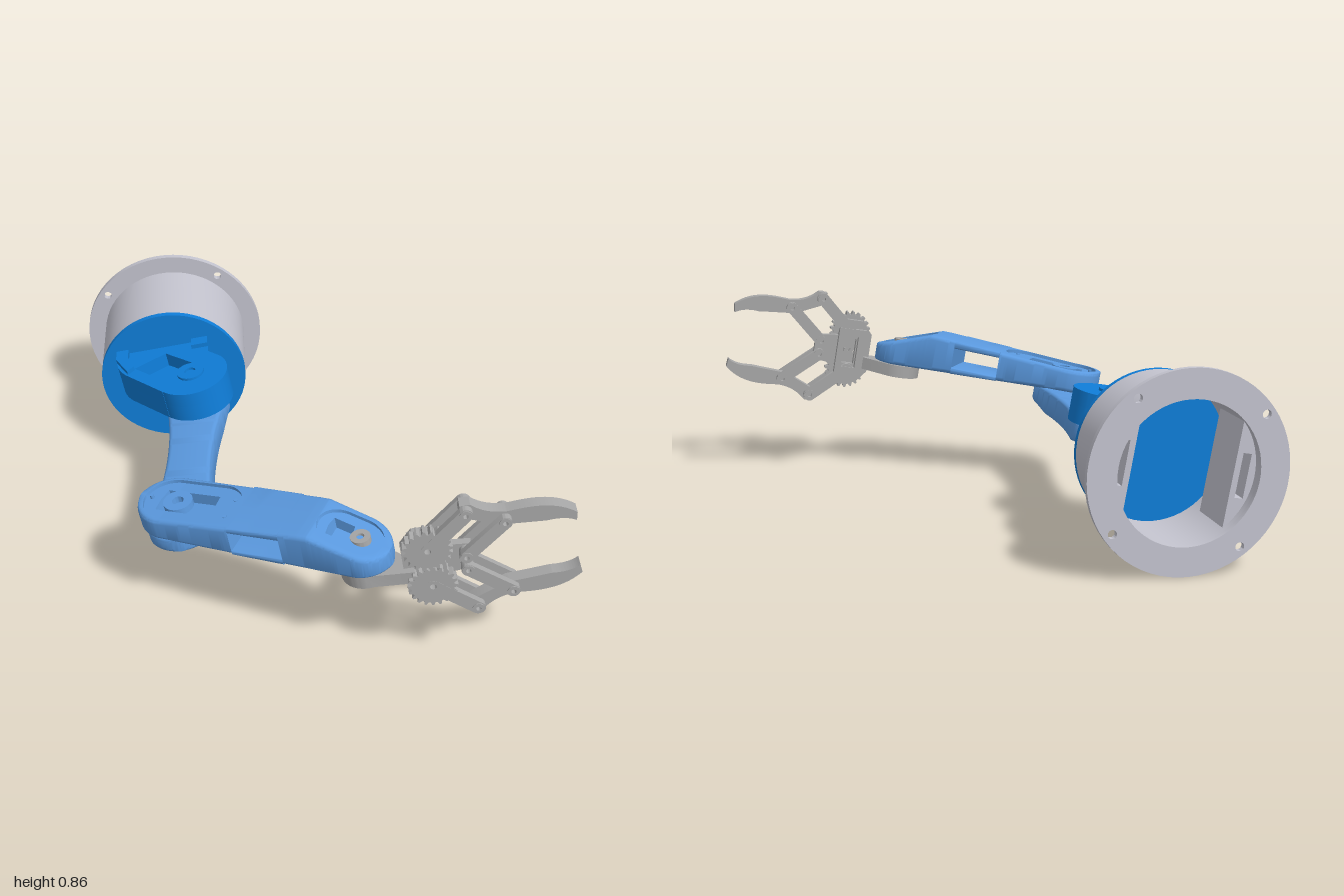
import * as THREE from 'three';
import { toCreasedNormals } from 'three/addons/utils/BufferGeometryUtils.js';

const paint = (color) => new THREE.MeshStandardMaterial({ color });
const GREY = paint(0xc4c4cf), STEEL = paint(0xa8a8a8), BLUE = paint(0x0f7dd8), SKY = paint(0x5b9ae0);
const { lerp, clamp } = THREE.MathUtils;

function add(parent, name, geometry, material) {
  const mesh = new THREE.Mesh(toCreasedNormals(geometry, 0.6), material);
  mesh.name = name;
  parent.add(mesh);
  return mesh;
}

const poly = (pts) => new THREE.Shape(pts.map(([x, y]) => new THREE.Vector2(x, y)));
const disc = (x, y, r) => new THREE.Shape().absarc(x, y, r, 0, Math.PI * 2);
const rect = (x0, y0, x1, y1) => poly([[x0, y0], [x1, y0], [x1, y1], [x0, y1]]);
function cut(shape, ...holes) {
  shape.holes.push(...holes);
  return shape;
}

// Shape in the x-y plane, thick from z0 to z1
function plate(parent, name, shape, z0, z1, material) {
  const g = new THREE.ExtrudeGeometry(shape, { depth: z1 - z0, bevelEnabled: false, curveSegments: 32 });
  return add(parent, name, g.translate(0, 0, z0), material);
}

// Shape in the x-z plane, thick from y0 to y1
function slab(parent, name, shape, y0, y1, material) {
  const g = new THREE.ExtrudeGeometry(shape, { depth: y1 - y0, bevelEnabled: false, curveSegments: 24 });
  return add(parent, name, g.rotateX(Math.PI / 2).translate(0, y1, 0), material);
}

// Bar with round ends and pin holes
function bar(a, b, r) {
  const t = Math.atan2(b[1] - a[1], b[0] - a[0]), q = Math.PI / 2;
  const s = new THREE.Shape().absarc(a[0], a[1], r, t + q, t + 3 * q).absarc(b[0], b[1], r, t - q, t + q);
  return cut(s, disc(...a, r * 0.45), disc(...b, r * 0.45));
}

function gear(x, y, r, teeth, phase) {
  const pts = [];
  for (let i = 0; i < teeth * 4; i++) {
    const a = ((i + phase) / (teeth * 4)) * Math.PI * 2, k = i % 4 < 2 ? r : r - 0.015;
    pts.push([x + k * Math.cos(a), y + k * Math.sin(a)]);
  }
  return cut(poly(pts), disc(x, y, 0.015));
}

// Half width of a stadium with end centres a and b
function stadium(s, a, b, r) {
  const d = Math.max(a - s, s - b, 0);
  return d >= r ? 0 : Math.sqrt(r * r - d * d);
}

// One cross-section: rounded box whose top steps down through sunken levels
function section({ w, b, t, levels }) {
  const pts = [], r = Math.min(0.02, w / 2, (t - b) / 3);
  const corner = (z, y, from) => {
    for (let i = 0; i <= 4; i++) {
      const a = from + (i / 4) * Math.PI / 2;
      pts.push([z + r * Math.cos(a), y + r * Math.sin(a)]);
    }
  };
  corner(r - w, b + r, Math.PI);
  corner(w - r, b + r, Math.PI * 1.5);
  corner(w - r, t - r, 0);
  const steps = [];
  let y = t;
  for (const [half, floor] of levels) {
    const h = Math.min(half, w - r), f = h > 0 ? floor : y;
    steps.push([h, y], [h, f]);
    y = f;
  }
  pts.push(...steps, ...steps.slice().reverse().map(([h, v]) => [-h, v]));
  corner(r - w, t - r, Math.PI / 2);
  return pts;
}

// Limb lofted along x through the sections given by rule(s)
function limb(rule, s0, s1, n = 100) {
  const pos = [], index = [];
  let m = 0;
  for (let i = 0; i <= n; i++) {
    const s = lerp(s0, s1, (1 - Math.cos((Math.PI * i) / n)) / 2);
    const ring = section(rule(s));
    m = ring.length;
    for (const [z, y] of ring) pos.push(s, y, z);
  }
  for (let i = 0; i < n; i++) for (let j = 0; j < m; j++) {
    const k = (j + 1) % m, a = i * m + j, d = i * m + k;
    index.push(a, a + m, d + m, a, d + m, d);
  }
  for (const [s, row] of [[s0, 0], [s1, n]]) {
    const f = rule(s), c = pos.length / 3;
    pos.push(s, (f.b + f.t) / 2, 0);
    for (let j = 0; j < m; j++) {
      const a = row * m + j, d = row * m + (j + 1) % m;
      row ? index.push(c, d, a) : index.push(c, a, d);
    }
  }
  const g = new THREE.BufferGeometry();
  g.setAttribute('position', new THREE.Float32BufferAttribute(pos, 3));
  g.setIndex(index);
  return g;
}

function horn(parent, x, y, z, r, material) {
  slab(parent, 'servoHorn', cut(disc(x, z, r), disc(x, z, r * 0.4)), y - 0.03, y, material);
}

function buildBase(rig) {
  const holes = [0, 1, 2, 3].map((i) => {
    const a = (i + 0.5) * Math.PI / 2;
    return disc(0.373 * Math.cos(a), 0.373 * Math.sin(a), 0.018);
  });
  plate(rig, 'mountingFlange', cut(disc(0, 0, 0.41), disc(0, 0, 0.29), ...holes), -1, -0.975, GREY);
  plate(rig, 'baseBarrel', cut(disc(0, 0, 0.33), disc(0, 0, 0.3)), -0.975, -0.62, GREY);
  plate(rig, 'turntable', disc(0, 0, 0.33), -0.62, -0.595, BLUE);
  for (const turn of [0, Math.PI]) {
    const s = cut(new THREE.Shape().absarc(0, 0, 0.302, Math.PI - 0.8, Math.PI + 0.8), rect(-0.27, -0.09, -0.235, 0.09));
    plate(rig, 'innerHolder', s, -0.93, -0.7, GREY).rotation.z = turn;
  }
  // Shoulder bracket: floor, raised rim, side fin and foot
  const outline = () => new THREE.Shape().moveTo(-0.225, -0.6).lineTo(-0.225, -0.53)
    .quadraticCurveTo(-0.22, -0.47, -0.18, -0.42).lineTo(-0.01, -0.24)
    .absarc(0.115, -0.35, 0.165, Math.PI * 0.77, -0.6, true).lineTo(0.195, -0.5).lineTo(0.195, -0.6);
  const pocket = poly([[-0.14, -0.46], [0.0, -0.54], [0.12, -0.43], [0.02, -0.3]]);
  slab(rig, 'shoulderFloor', outline(), 0.025, 0.1, BLUE);
  slab(rig, 'shoulderRim', cut(outline(), pocket), 0.1, 0.165, BLUE);
  slab(rig, 'shoulderFin', poly([[-0.225, -0.6], [-0.225, -0.53], [-0.17, -0.42], [-0.14, -0.45], [-0.17, -0.53], [-0.17, -0.6]]), 0.16, 0.185, BLUE);
  slab(rig, 'shoulderFin', rect(0.12, -0.6, 0.195, -0.54), 0.16, 0.185, BLUE);
  horn(rig, 0.115, 0.176, -0.35, 0.06, BLUE);
  const foot = plate(rig, 'cableLoop', cut(rect(-0.05, -0.05, 0.05, 0.05), rect(-0.015, -0.03, 0.02, 0.03)), -0.018, 0.018, BLUE);
  foot.position.set(-0.145, -0.045, -0.55);
  foot.rotation.y = Math.PI / 2;
}

function buildUpperArm(rig) {
  const L = 0.813;
  const rule = (s) => {
    const e = Math.min(s + 0.135, L + 0.14 - s);
    const t = 0.09 - 0.05 * Math.max(0, 1 - e / 0.28);
    const waist = 0.098 + 0.042 * Math.min(1, (2 * s / L - 1) ** 2);
    return {
      w: Math.max(0.001, Math.min(waist, stadium(s, 0, L, 0.14))), b: -0.022, t,
      levels: [[Math.max(stadium(s, 0, 0.08, 0.105), stadium(s, L - 0.08, L, 0.105)), t - 0.03]],
    };
  };
  const arm = add(rig, 'upperArm', limb(rule, -0.135, L + 0.14, 160).rotateX(Math.PI), SKY);
  arm.position.set(0.11, 0, -0.35);
  arm.rotation.y = -Math.atan2(0.81, -0.065);
}

function buildForearm(rig) {
  const L = 0.825, arm = new THREE.Group();
  arm.name = 'forearm';
  arm.position.set(0.03, 0, 0.46);
  arm.rotation.y = -0.486;
  rig.add(arm);
  const rule = (s) => {
    const r = lerp(0.14, 0.12, clamp(s / L, 0, 1));
    const t = s < 0.66 ? lerp(0.125, 0.155, clamp(s / 0.62, 0, 1)) : lerp(0.155, 0.055, (s - 0.66) / 0.285);
    const wrist = s > 0.5;
    const inPocket = (s > -0.05 && s < 0.2) || (s > 0.7 && s < 0.79);
    return {
      w: Math.max(0.001, stadium(s, 0, L, r)), b: lerp(0.022, -0.02, clamp(s / L, 0, 1)), t,
      levels: [
        [wrist ? stadium(s, 0.75, L, 0.09) : stadium(s, 0, 0.2, 0.115), t - 0.015],
        [inPocket ? (wrist ? 0.045 : 0.06) : 0, t - 0.065],
      ],
    };
  };
  // Side window between the two housings, bridged by top and bottom walls
  add(arm, 'elbowHousing', limb(rule, -0.139, 0.32), SKY);
  add(arm, 'wristHousing', limb(rule, 0.54, L + 0.119), SKY);
  add(arm, 'topWall', limb((s) => ({ ...rule(s), b: 0.115, levels: [[0, 0], [0, 0]] }), 0.32, 0.54, 8), SKY);
  add(arm, 'bottomWall', limb((s) => ({ ...rule(s), t: 0.025, levels: [[0, 0], [0, 0]] }), 0.32, 0.54, 8), SKY);
  horn(arm, 0.03, 0.12, 0, 0.06, SKY);
  horn(arm, L, 0.095, 0, 0.04, STEEL);
  for (const [s, z] of [[-0.09, 0], [0.27, 0.05], [0.27, -0.05]]) {
    slab(arm, 'screw', disc(s, z, 0.008), 0.1, 0.127, SKY);
  }
}

function buildGripper(rig) {
  const tongue = new THREE.Shape().moveTo(0.94, 0.89).lineTo(0.94, 0.965).lineTo(0.78, 0.948)
    .absarc(0.76, 0.85, 0.1, Math.PI / 2, -0.9 + Math.PI * 2, false);
  slab(rig, 'wristBracket', cut(tongue, disc(0.76, 0.85, 0.04)), -0.08, -0.024, STEEL);
  const grip = new THREE.Group();
  grip.name = 'gripper';
  grip.position.set(1, -0.006, 0.938);
  grip.rotation.y = -0.025;
  rig.add(grip);
  const half = [[-0.1, 0.09], [-0.05, 0.15], [0.03, 0.15], [0.06, 0.07], [0.165, 0.06]];
  const palm = poly([...half, ...half.map(([x, y]) => [x, -y]).reverse()]);
  plate(grip, 'palm', cut(palm, rect(-0.03, -0.06, 0.03, 0.06)), -0.03, 0, STEEL);
  plate(grip, 'servoFrame', cut(rect(-0.07, -0.11, 0.06, 0.11), rect(-0.035, -0.075, 0.03, 0.075)), -0.058, -0.03, STEEL);
  for (const side of [1, -1]) {
    const at = (x, y) => [x, y * side];
    const hub = at(0, 0.089), inner = at(0.14, 0.032), outer = at(0.158, 0.233), knuckle = at(0.298, 0.171);
    plate(grip, 'gear', gear(...hub, 0.096, 20, side > 0 ? 0 : 2), 0.002, 0.045, STEEL);
    // Paired links on the front and back of each finger
    for (const [z0, z1] of [[0.02, 0.046], [-0.052, -0.03]]) {
      plate(grip, 'outerLink', bar(hub, outer, 0.028), z0, z1, STEEL);
      plate(grip, 'innerLink', bar(inner, knuckle, 0.026), z0, z1, STEEL);
    }
    for (const p of [inner, outer, knuckle]) {
      plate(grip, 'pin', cut(disc(...p, 0.024), disc(...p, 0.01)), -0.056, 0.05, STEEL);
    }
    const finger = new THREE.Shape().moveTo(...at(0.14, 0.262)).lineTo(...at(0.18, 0.262))
      .quadraticCurveTo(...at(0.23, 0.21), ...at(0.31, 0.205))
      .bezierCurveTo(...at(0.38, 0.21), ...at(0.48, 0.225), ...at(0.565, 0.15)).lineTo(...at(0.56, 0.112))
      .quadraticCurveTo(...at(0.52, 0.14), ...at(0.45, 0.132))
      .quadraticCurveTo(...at(0.36, 0.14), ...at(0.28, 0.145)).lineTo(...at(0.135, 0.21));
    plate(grip, 'finger', finger, -0.03, 0.02, STEEL);
  }
}

export function createModel() {
  const model = new THREE.Group();
  model.name = 'robotArm';
  // The whole arm is rolled slightly about the base axis
  const rig = new THREE.Group();
  rig.name = 'rolledAssembly';
  rig.position.set(-0.585, 0.41, 0);
  rig.rotation.z = 0.171;
  model.add(rig);
  buildBase(rig);
  buildUpperArm(rig);
  buildForearm(rig);
  buildGripper(rig);
  return model;
}
